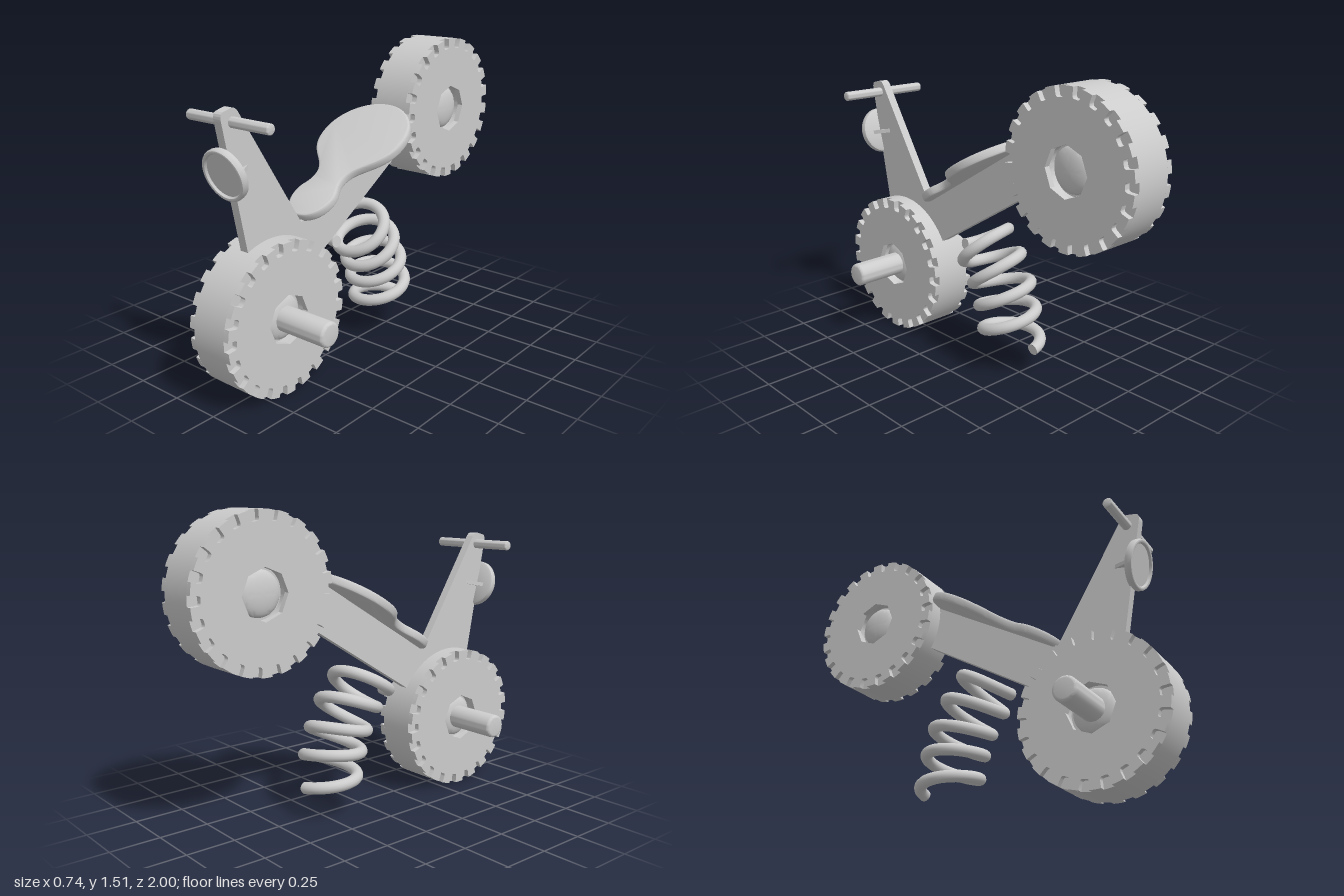
import * as THREE from 'three';
import { toCreasedNormals } from 'three/addons/utils/BufferGeometryUtils.js';

const material = new THREE.MeshStandardMaterial({ color: 0xcccccc });
const V2 = (x, y) => new THREE.Vector2(x, y);

function add(parent, name, geometry, x = 0, y = 0, z = 0) {
  const mesh = new THREE.Mesh(geometry, material);
  mesh.name = name;
  mesh.position.set(x, y, z);
  parent.add(mesh);
  return mesh;
}

// Extrusion centred on its depth, with bevels kept inside the outline
function slab(shape, depth, bevel = 0, curveSegments = 24) {
  const g = new THREE.ExtrudeGeometry(shape, {
    depth: depth - 2 * bevel, curveSegments, bevelEnabled: bevel > 0,
    bevelSize: bevel, bevelThickness: bevel, bevelOffset: -bevel, bevelSegments: 3,
  });
  g.translate(0, 0, bevel - depth / 2);
  return toCreasedNormals(g, 0.6);
}

// Solid of revolution turned so that its axis lies along x
function latheX(profile) {
  const g = new THREE.LatheGeometry(profile.map(([r, h]) => V2(r, h)), 40);
  return toCreasedNormals(g, 0.6).rotateZ(-Math.PI / 2);
}

// Rod along x with rounded ends
function rodX(radius, half, round) {
  const pts = [];
  for (let i = 0; i <= 4; i++) {
    const a = (i / 4) * Math.PI / 2;
    pts.push([radius - round + round * Math.cos(a), half - round + round * Math.sin(a)]);
  }
  const lower = pts.map(([r, h]) => [r, -h]).reverse();
  return latheX([[0, -half], ...lower, ...pts, [0, half]]);
}

const R = 0.37, HALF = 0.122, HUB = 0.122, NOTCHES = 22;

// Wheel outline, either plain or with U-shaped tread notches, and a hub hole
function wheelShape(notched) {
  const s = new THREE.Shape();
  if (!notched) s.absarc(0, 0, R, 0, Math.PI * 2);
  else {
    const step = Math.PI * 2 / NOTCHES, w = 0.066, deep = R - 0.05;
    const at = (r, a) => [r * Math.cos(a), r * Math.sin(a)];
    for (let i = 0; i < NOTCHES; i++) {
      const a = i * step;
      const start = at(R, a - w);
      if (i === 0) s.moveTo(...start);
      s.lineTo(...at(deep + 0.016, a - w));
      s.quadraticCurveTo(...at(deep, a - w), ...at(deep, a - w * 0.4));
      s.lineTo(...at(deep, a + w * 0.4));
      s.quadraticCurveTo(...at(deep, a + w), ...at(deep + 0.016, a + w));
      for (let k = 0; k <= 4; k++) s.lineTo(...at(R, a + w + (step - 2 * w) * k / 4));
    }
  }
  s.holes.push(new THREE.Path().absarc(0, 0, HUB, 0, Math.PI * 2, true));
  return s;
}

function makeWheel(name, y, z) {
  const wheel = new THREE.Group();
  wheel.name = name;
  wheel.position.set(0, y, z);
  const side = 0.028, core = HALF - side;
  add(wheel, 'tyreCore', slab(wheelShape(false), core * 2, 0, 48).rotateY(Math.PI / 2));
  const edge = slab(wheelShape(true), side, 0, 4).rotateY(Math.PI / 2);
  for (const s of [1, -1]) add(wheel, 'tyreTread', edge, s * (core + side / 2));
  // Domed hub set into a recess on both sides
  const dome = [];
  for (let i = 0; i <= 8; i++) {
    const a = (i / 8) * Math.PI / 2;
    dome.push([0.108 * Math.cos(a), 0.07 + 0.035 * Math.sin(a)]);
  }
  const half = [[HUB + 0.002, 0.06], [0.108, 0.06], ...dome];
  add(wheel, 'hub', latheX([...half.map(([r, h]) => [r, -h]).reverse(), ...half]));
  return wheel;
}

// Thin V-shaped plate joining the wheels
function makeFrame() {
  const s = new THREE.Shape();
  const to = (z, y) => s.lineTo(-z, y);
  s.moveTo(-0.777, 0.725);
  to(0.89, 1.3);
  s.quadraticCurveTo(-0.902, 1.345, -0.875, 1.35);
  to(0.835, 1.36);
  s.quadraticCurveTo(-0.81, 1.362, -0.795, 1.335);
  to(0.435, 0.765);
  to(-0.45, 1.3);
  to(-0.45, 1.04);
  to(0.315, 0.567);
  to(0.45, 0.45);
  to(0.72, 0.45);
  return slab(s, 0.045).rotateY(Math.PI / 2);
}

// Seat with a wide rear, a neck and a small front lobe; length runs along +y
function makeSeat() {
  const s = new THREE.Shape();
  s.moveTo(0, 0);
  s.bezierCurveTo(0.07, 0, 0.118, 0.06, 0.118, 0.13);
  s.bezierCurveTo(0.118, 0.19, 0.085, 0.2, 0.085, 0.255);
  s.bezierCurveTo(0.085, 0.37, 0.245, 0.38, 0.245, 0.56);
  s.bezierCurveTo(0.245, 0.69, 0.135, 0.8, 0, 0.8);
  s.bezierCurveTo(-0.135, 0.8, -0.245, 0.69, -0.245, 0.56);
  s.bezierCurveTo(-0.245, 0.38, -0.085, 0.37, -0.085, 0.255);
  s.bezierCurveTo(-0.085, 0.2, -0.118, 0.19, -0.118, 0.13);
  s.bezierCurveTo(-0.118, 0.06, -0.07, 0, 0, 0);
  return slab(s, 0.045, 0.01, 16);
}

// Coil whose axis bends and whose turns level out toward the bottom
class Coil extends THREE.Curve {
  constructor() {
    super();
    this.axis = new THREE.CatmullRomCurve3([
      [0.053, 0.675], [-0.045, 0.575], [-0.125, 0.44], [-0.167, 0.31], [-0.2, 0.15],
    ].map(([z, y]) => new THREE.Vector3(0, y, z)));
  }
  getPoint(f, target = new THREE.Vector3()) {
    const c = this.axis.getPoint(f), a = f * Math.PI * 9, r = 0.14;
    const tilt = THREE.MathUtils.degToRad(40 - 36 * f), d = r * Math.cos(a);
    return target.set(-r * Math.sin(a), c.y - d * Math.sin(tilt), c.z + d * Math.cos(tilt));
  }
}

export function createModel() {
  const model = new THREE.Group();
  model.name = 'springRider';

  const front = makeWheel('frontWheel', 0.372, 0.63);
  add(front, 'footPegs', rodX(0.06, 0.37, 0.015));
  model.add(front, makeWheel('rearWheel', 1.147, -0.63));

  add(model, 'frame', makeFrame());
  add(model, 'handlebar', rodX(0.024, 0.245, 0.006), 0, 1.3, 0.83);

  // Seat lies along the sloping top edge of the frame
  const slope = 0.547;
  const seat = add(model, 'seat', makeSeat(), 0, 0.78, 0.43);
  seat.rotation.x = slope - Math.PI / 2;

  // Round lamp with a raised rim, leaning with the front edge
  const lamp = new THREE.Group();
  lamp.name = 'headlamp';
  lamp.position.set(0, 1.08, 0.862);
  lamp.rotation.x = 0.27;
  const profile = [[0, -0.02], [0.108, -0.02], [0.119, -0.014], [0.122, -0.004], [0.122, 0.012],
    [0.118, 0.019], [0.112, 0.021], [0.105, 0.019], [0.1, 0.008], [0, 0.008]];
  const lampGeometry = new THREE.LatheGeometry(profile.map(([r, h]) => V2(r, h)), 48);
  add(lamp, 'lampBody', toCreasedNormals(lampGeometry, 0.6).rotateX(Math.PI / 2));
  model.add(lamp);

  // Triangular lamp bracket
  const gusset = new THREE.Shape([V2(-0.075, 0), V2(0.075, 0), V2(0.012, 0.125), V2(-0.012, 0.125)]);
  const bracket = add(model, 'lampBracket', slab(gusset, 0.02), 0, 1.076, 0.855);
  bracket.rotation.x = 0.2 - Math.PI / 2;

  // Spring with flat end caps
  const coil = new Coil(), wire = 0.03;
  add(model, 'spring', new THREE.TubeGeometry(coil, 260, wire, 14));
  for (const end of [0, 1]) {
    const cap = add(model, 'springEnd', new THREE.CircleGeometry(wire, 14));
    cap.position.copy(coil.getPointAt(end));
    const out = coil.getTangentAt(end).multiplyScalar(end ? 1 : -1);
    cap.quaternion.setFromUnitVectors(new THREE.Vector3(0, 0, 1), out);
  }
  return model;
}
